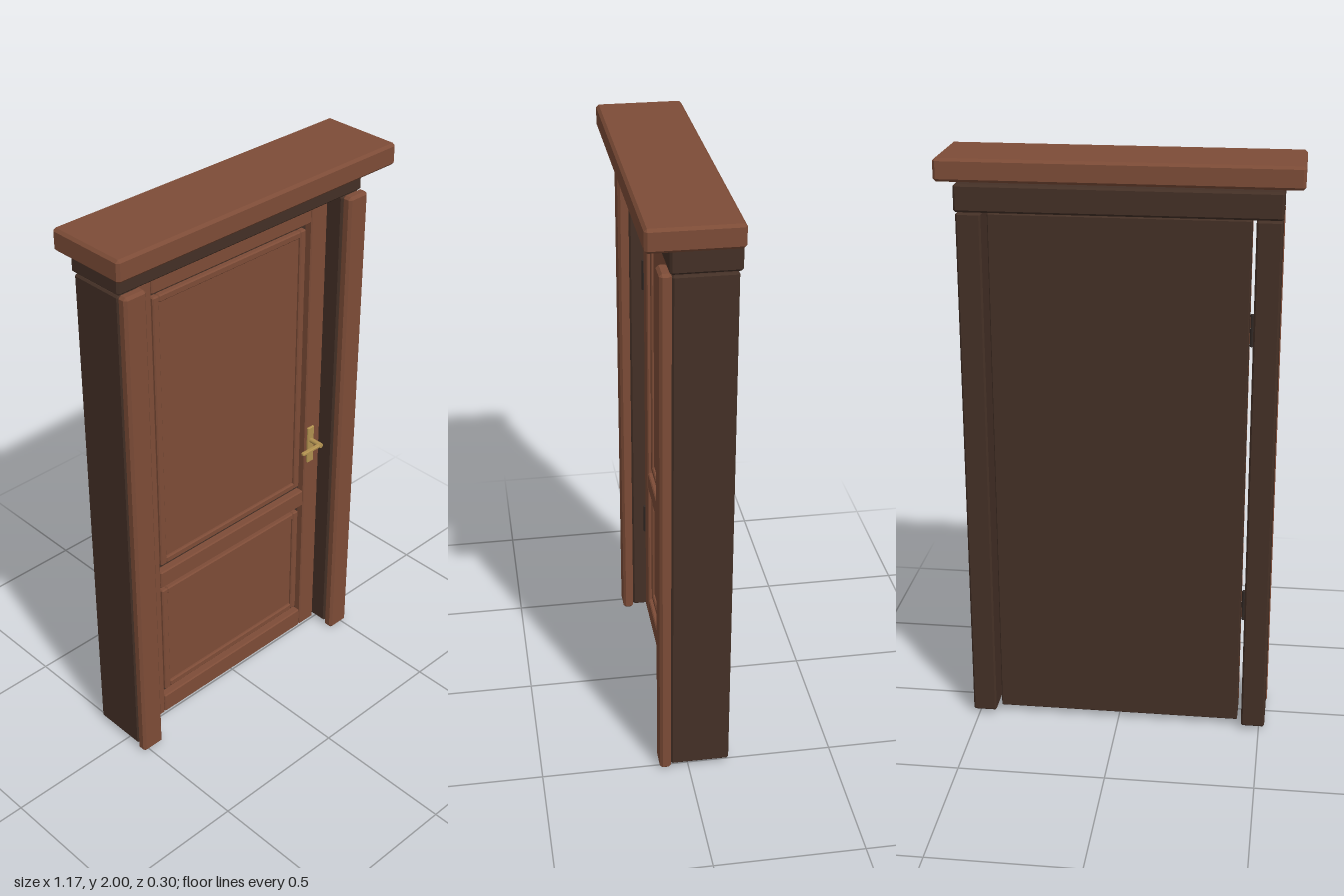
import * as THREE from 'three';
import { ConvexGeometry } from 'three/addons/geometries/ConvexGeometry.js';

const material = (name, color) => {
  const m = new THREE.MeshStandardMaterial({ color });
  m.name = name;
  return m;
};

// Box given by its limits, with all edges chamfered by c
function chamferBox(x0, x1, y0, y1, z0, z1, c) {
  const half = [(x1 - x0) / 2, (y1 - y0) / 2, (z1 - z0) / 2];
  const points = [];
  for (const sx of [-1, 1]) for (const sy of [-1, 1]) for (const sz of [-1, 1]) {
    for (let axis = 0; axis < 3; axis++) {
      const h = half.map((v, i) => (i === axis ? v : v - c));
      points.push(new THREE.Vector3(sx * h[0], sy * h[1], sz * h[2]));
    }
  }
  const geometry = new ConvexGeometry(points);
  geometry.translate((x0 + x1) / 2, (y0 + y1) / 2, (z0 + z1) / 2);
  return geometry;
}

export function createModel() {
  const wood = material('reddish brown wood', 0x7d4c37);
  const darkWood = material('dark brown wood', 0x443026);
  const brass = material('brass', 0xb0904f);
  const iron = material('dark iron', 0x332a26);

  const model = new THREE.Group();
  model.name = 'door';
  const add = (parent, name, geometry, mat) => {
    const mesh = new THREE.Mesh(geometry, mat);
    mesh.name = name;
    parent.add(mesh);
    return mesh;
  };
  const block = (parent, name, mat, x0, x1, y0, y1, z0, z1, c = 0.004) =>
    add(parent, name, chamferBox(x0, x1, y0, y1, z0, z1, c), mat);

  // Surround: cornice, head, and a jamb with casing on each side
  const surround = new THREE.Group();
  surround.name = 'surround';
  model.add(surround);
  block(surround, 'cornice', wood, -0.587, 0.587, 1.925, 2, -0.145, 0.15, 0.009);
  block(surround, 'head', darkWood, -0.523, 0.523, 1.83, 1.92, -0.15, 0.067, 0.007);
  for (const [side, s] of [['left', 1], ['right', -1]]) {
    const span = (a, b) => (s > 0 ? [a, b] : [-b, -a]);
    block(surround, side + 'Jamb', darkWood, ...span(0.438, 0.52), 0.015, 1.826, -0.14, 0.06, 0.006);
    block(surround, side + 'Casing', wood, ...span(0.437, 0.523), 0, 1.834, 0.06, 0.098, 0.009);
  }

  // Door leaf: dark core carrying stiles, rails and raised panels
  const leaf = new THREE.Group();
  leaf.name = 'leaf';
  model.add(leaf);
  block(leaf, 'core', darkWood, -0.423, 0.423, 0.022, 1.82, -0.11, -0.02, 0.003);
  for (const s of [-1, 1]) {
    block(leaf, 'stile', wood, s * 0.386 - 0.037, s * 0.386 + 0.037, 0.022, 1.82, -0.02, 0.012);
  }
  for (const [name, y0, y1] of [['bottomRail', 0.022, 0.098], ['middleRail', 0.6, 0.667], ['topRail', 1.748, 1.82]]) {
    block(leaf, name, wood, -0.347, 0.347, y0, y1, -0.02, 0.012);
  }
  for (const [name, y0, y1] of [['lowerPanel', 0.117, 0.575], ['upperPanel', 0.687, 1.727]]) {
    const panel = new THREE.Group();
    panel.name = name;
    leaf.add(panel);
    block(panel, 'field', wood, -0.31, 0.31, y0 + 0.024, y1 - 0.024, -0.021, -0.006, 0.003);
    for (const s of [-1, 1]) {
      block(panel, 'sideMoulding', wood, s * 0.322 - 0.013, s * 0.322 + 0.013, y0, y1, -0.021, 0.002);
    }
    block(panel, 'lowerMoulding', wood, -0.31, 0.31, y0, y0 + 0.025, -0.021, 0.002);
    block(panel, 'upperMoulding', wood, -0.31, 0.31, y1 - 0.025, y1, -0.021, 0.002);
  }

  // Hinges in the gap beside the leaf
  for (const y of [0.415, 1.425]) {
    const hinge = add(model, 'hinge', new THREE.CylinderGeometry(0.008, 0.008, 0.11, 12), iron);
    hinge.position.set(-0.431, y, 0.01);
  }

  // Handle: plate, spindle and lever
  const handle = new THREE.Group();
  handle.name = 'handle';
  model.add(handle);
  block(handle, 'plate', brass, 0.355, 0.386, 0.79, 0.94, 0.012, 0.022, 0.003);
  const spindle = add(handle, 'spindle', new THREE.CylinderGeometry(0.009, 0.009, 0.055, 16), brass);
  spindle.rotation.x = Math.PI / 2;
  spindle.position.set(0.37, 0.885, 0.045);
  block(handle, 'lever', brass, 0.28, 0.379, 0.879, 0.891, 0.058, 0.073, 0.003);

  return model;
}
